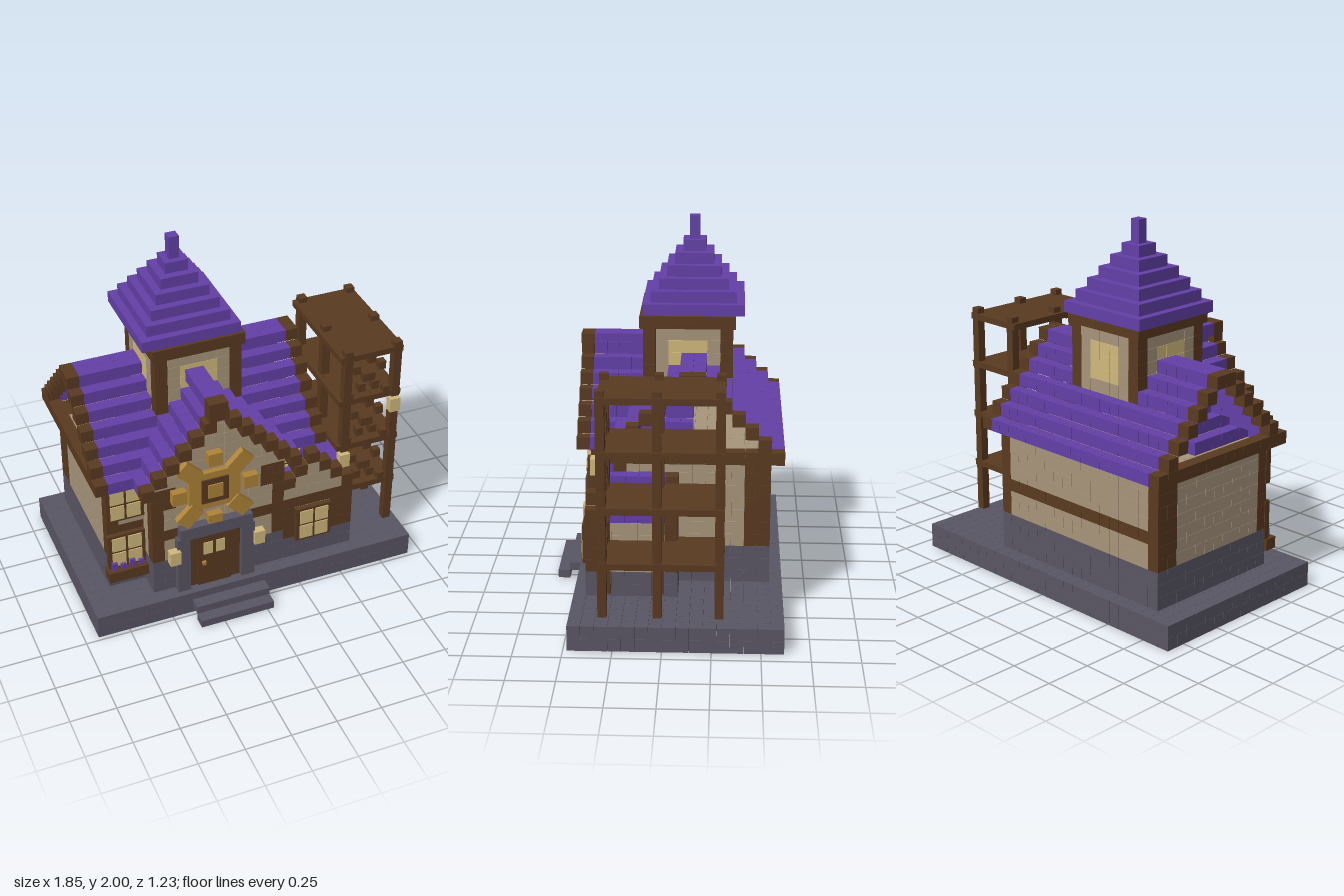
import * as THREE from 'three';
import { mergeGeometries } from 'three/addons/utils/BufferGeometryUtils.js';

const mat = (name, color) => {
  const m = new THREE.MeshStandardMaterial({ color });
  m.name = name;
  return m;
};

export function createModel() {
  const purple = mat('purple tiles', 0x6440a8), stone = mat('grey stone', 0x5a5664);
  const wood = mat('dark wood', 0x5a3a20), plaster = mat('tan plaster', 0xa8967c);
  const glow = mat('lit glass', 0xd2ba7c), gold = mat('gold', 0xb08438);
  const model = new THREE.Group();
  model.name = 'towerHouse';

  // ---- Block work: cells on a grid, later fills replace earlier ones ----
  const S = 0.0685, X0 = -13.5 * S, Z0 = -0.617;
  const cells = new Map();
  const key = (i, j, k) => `${i},${j},${k}`;
  const fill = (part, material, [i0, i1], [j0, j1], [k0, k1]) => {
    for (let i = i0; i <= i1; i++) for (let j = j0; j <= j1; j++) for (let k = k0; k <= k1; k++)
      cells.set(key(i, j, k), { part, material, i, j, k });
  };
  const post = (i, j, k0, k1) => fill('timberPosts', wood, [i, i], [j, j], [k0, k1]);

  // Foundation: full top layer over a hollow rim
  fill('foundation', stone, [0, 26], [0, 15], [1, 1]);
  for (const i of [0, 26]) fill('foundation', stone, [i, i], [0, 15], [0, 0]);
  for (const j of [0, 15]) fill('foundation', stone, [0, 26], [j, j], [0, 0]);

  // Side annex: stone foot, plaster walls, stepped roof
  fill('annexFoot', stone, [16, 21], [8, 14], [2, 3]);
  fill('annexWalls', plaster, [16, 21], [8, 14], [4, 7]);
  for (let i = 15; i <= 21; i++) {
    const r = 8 + Math.min(i - 15, 21 - i);
    fill('annexRoof', purple, [i, i], [9, 13], [r, r]);
    for (const j of [8, 14]) {
      if (r > 8) fill('annexWalls', plaster, [i, i], [j, j], [8, r - 1]);
      fill('annexTrim', wood, [i, i], [j, j], [r, r]);
    }
  }
  fill('annexBeam', wood, [16, 21], [14, 14], [7, 7]);
  for (const i of [16, 20, 21]) post(i, 14, 4, 7);
  post(21, 8, 4, 7);

  // Main hall and the projecting front bay
  for (const [i, j] of [[[2, 18], [1, 12]], [[5, 15], [13, 14]]]) {
    fill('hallFoot', stone, i, j, [2, 4]);
    fill('hallWalls', plaster, i, j, [5, 11]);
  }
  fill('backBeam', wood, [2, 18], [1, 1], [7, 7]);
  fill('bayBeam', wood, [5, 15], [14, 14], [7, 7]);
  fill('leftFrontBeam', wood, [2, 4], [12, 12], [7, 7]);
  for (const i of [2, 18]) for (const j of [1, 2, 12]) post(i, j, 5, 11);
  for (const i of [5, 15]) post(i, 14, 5, 11);
  for (const i of [6, 14]) post(i, 14, 10, 12);
  fill('annexTrim', wood, [15, 15], [14, 14], [8, 8]);

  // Main roof along x, with open timber gable ends
  for (let j = 0; j <= 13; j++) {
    const r = 12 + Math.min(j, 13 - j);
    fill('mainRoof', purple, [2, 18], [j, j], [r, r]);
    for (const i of [1, 19]) {
      fill('gableTrim', wood, [i, i], [j, j], [r, r]);
      fill('gableTie', wood, [i, i], [j, j], [12, 12]);
    }
  }
  // Cross roof over the front bay
  for (let i = 4; i <= 16; i++) {
    const r = 12 + Math.min(i - 4, 16 - i);
    if (r > 12) fill('bayGable', plaster, [i, i], [14, 14], [12, r - 1]);
    fill('crossRoof', purple, [i, i], [7, 14], [r, r]);
    fill('bayTrim', wood, [i, i], [15, 15], [r, r]);
  }

  // Tower: plaster walls, corner posts, lit windows on all four sides
  fill('towerWalls', plaster, [7, 13], [4, 10], [15, 20]);
  for (const i of [7, 13]) for (const j of [4, 10]) post(i, j, 15, 20);
  for (const j of [4, 10]) fill('towerWindows', glow, [9, 11], [j, j], [17, 19]);
  for (const i of [7, 13]) fill('towerWindows', glow, [i, i], [6, 8], [17, 19]);

  // Turn the exposed cells into one mesh per part
  const parts = new Map();
  for (const c of cells.values()) {
    const { i, j, k } = c;
    const buried = [[1, 0, 0], [-1, 0, 0], [0, 1, 0], [0, -1, 0], [0, 0, 1], [0, 0, -1]]
      .every(([a, b, d]) => cells.has(key(i + a, j + b, k + d)));
    if (buried) continue;
    const g = new THREE.BoxGeometry(S * 0.985, S * 0.985, S * 0.985);
    g.translate(X0 + (i + 0.5) * S, (k + 0.5) * S + (k > 1 ? 0.01 : 0), Z0 + (j + 0.5) * S);
    if (!parts.has(c.part)) parts.set(c.part, { material: c.material, list: [] });
    parts.get(c.part).list.push(g);
  }
  for (const [name, { material, list }] of parts) {
    const mesh = new THREE.Mesh(mergeGeometries(list), material);
    mesh.name = name;
    model.add(mesh);
  }

  // ---- Single boxes, given by their limits ----
  const box = (name, material, [x0, x1], [y0, y1], [z0, z1], parent = model) => {
    const m = new THREE.Mesh(new THREE.BoxGeometry(x1 - x0, y1 - y0, z1 - z0), material);
    m.position.set((x0 + x1) / 2, (y0 + y1) / 2, (z0 + z1) / 2);
    m.name = name;
    parent.add(m);
    return m;
  };

  // Ridge cap of the cross roof
  box('ridgeCap', purple, [-0.28, -0.18], [1.285, 1.353], [0.1, 0.41]);
  box('ridgeEnd', wood, [-0.28, -0.18], [1.245, 1.353], [0.41, 0.482]);

  // Tower eave, stepped spire and finial
  box('towerEave', wood, [-0.462, 0.048], [1.445, 1.512], [-0.356, 0.154]);
  const tier = (name, h, y0, y1) =>
    box(name, purple, [-0.241 - h, -0.241 + h], [y0, y1], [-0.132 - h, -0.132 + h]);
  for (let t = 0; t < 6; t++) tier('spireTier', 0.27 - t * 0.0417, 1.512 + t * 0.0605, 1.5725 + t * 0.0605);
  tier('finial', 0.028, 1.875, 2);

  // Front steps
  box('upperStep', stone, [-0.385, 0.037], [0.045, 0.09], [0.479, 0.548]);
  box('lowerStep', stone, [-0.385, 0.037], [0, 0.045], [0.548, 0.613]);

  // Door with stone surround
  box('doorPostRight', stone, [-0.455, -0.383], [0.14, 0.5], [0.4, 0.45]);
  box('doorPostLeft', stone, [-0.09, -0.012], [0.14, 0.5], [0.4, 0.45]);
  box('doorLintel', stone, [-0.44, -0.03], [0.495, 0.57], [0.4, 0.46]);
  box('doorFrame', wood, [-0.383, -0.09], [0.14, 0.495], [0.4, 0.425]);
  box('doorLeaf', wood, [-0.335, -0.145], [0.14, 0.485], [0.42, 0.435]);
  for (const x of [-0.303, -0.233]) box('doorPane', glow, [x, x + 0.052], [0.35, 0.43], [0.434, 0.44]);
  box('doorKnob', gold, [-0.312, -0.292], [0.285, 0.305], [0.434, 0.45]);

  // Lanterns beside the door and on the scaffold
  const lantern = (x, y, z) => box('lantern', glow, [x - 0.03, x + 0.03], [y - 0.042, y + 0.042], [z, z + 0.045]);
  lantern(-0.473, 0.395, 0.425);
  lantern(0.01, 0.395, 0.425);
  lantern(0.845, 0.97, 0.305);
  lantern(0.558, 0.672, 0.305);

  // Framed windows with four panes
  const windowAt = (x, y, z) => {
    const g = new THREE.Group();
    g.name = 'window';
    box('windowFrame', wood, [-0.104, 0.104], [-0.108, 0.108], [-0.01, 0.025], g);
    for (const a of [-1, 1]) for (const b of [-1, 1])
      box('windowPane', glow, [a * 0.045 - 0.038, a * 0.045 + 0.038],
        [b * 0.05 - 0.043, b * 0.05 + 0.043], [0.024, 0.031], g);
    g.position.set(x, y, z);
    model.add(g);
  };
  windowAt(-0.688, 0.715, 0.274);
  windowAt(-0.688, 0.4, 0.274);
  windowAt(0.272, 0.715, 0.274);
  windowAt(0.342, 0.38, 0.412);

  // Flower box
  box('planter', wood, [-0.805, -0.582], [0.228, 0.292], [0.27, 0.34]);
  for (let n = 0; n < 4; n++) {
    const x = -0.765 + n * 0.05, y = n % 2 ? 0.31 : 0.325;
    box('flower', purple, [x - 0.015, x + 0.015], [0.29, y + 0.012], [0.29, 0.32]);
  }

  // Gold gear emblem on the bay
  const gear = new THREE.Group();
  gear.name = 'gear';
  box('gearBody', gold, [-0.143, 0.143], [-0.115, 0.115], [0, 0.03], gear);
  box('gearRing', wood, [-0.076, 0.076], [-0.076, 0.076], [0.028, 0.038], gear);
  box('gearHub', gold, [-0.042, 0.042], [-0.042, 0.042], [0.036, 0.046], gear);
  for (let n = 0; n < 8; n++) {
    const a = n * Math.PI / 4;
    const tooth = box('gearTooth', gold, [-0.039, 0.039], [-0.039, 0.039], [0, 0.044], gear);
    tooth.position.x = Math.cos(a) * 0.2;
    tooth.position.y = Math.sin(a) * 0.2;
    tooth.rotation.z = a;
    if (n % 2) tooth.scale.set(1.6, 1.15, 0.8);
  }
  gear.position.set(-0.24, 0.785, 0.415);
  model.add(gear);

  // Scaffold: posts, decks and stepped cross braces on the front face
  for (const x of [0.567, 0.854]) for (const z of [-0.287, 0.024, 0.302])
    box('scaffoldPost', wood, [x - 0.023, x + 0.023], [0.165, 1.36], [z - 0.023, z + 0.023]);
  for (const y of [0.445, 0.74, 1.035, 1.312])
    box('scaffoldDeck', wood, [0.522, 0.886], [y - 0.017, y + 0.017], [-0.312, 0.32]);
  const brace = [[0.074, 0.2], [0, 0.142], [0.04, 0.083], [0.108, 0.03]];
  for (const y of [0.445, 0.74, 1.03]) for (const [dx, dy] of brace) for (const s of dx ? [-1, 1] : [1]) {
    const x = 0.694 + s * dx, h = dx ? 0.02 : 0.034;
    box('scaffoldBrace', wood, [x - h, x + h], [y + dy - 0.024, y + dy + 0.024], [0.28, 0.32]);
  }
  return model;
}
